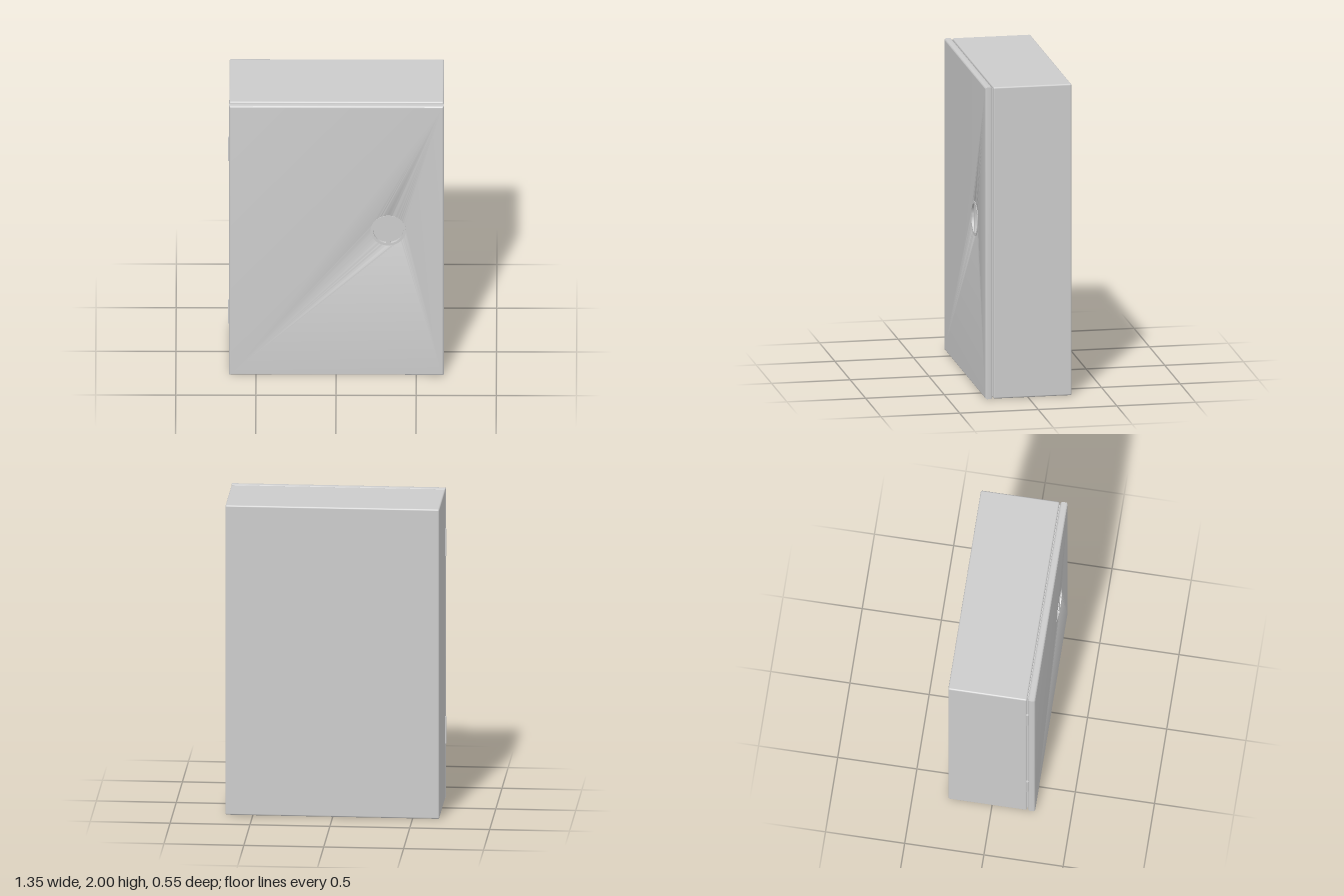
import * as THREE from 'three';
import { RoundedBoxGeometry } from 'three/addons/geometries/RoundedBoxGeometry.js';
import { toCreasedNormals } from 'three/addons/utils/BufferGeometryUtils.js';

const grey = new THREE.MeshStandardMaterial({ color: 0xcccccc });
const W = 1.339, H = 2, CX = 0.0025;   // cabinet face size and centre
const LX = 0.325, LY = 1.08, LR = 0.11; // lock centre and radius

export function createModel() {
  const root = new THREE.Group();
  const add = (name, geometry, x, y, z) => {
    const mesh = new THREE.Mesh(geometry, grey);
    mesh.name = name;
    mesh.position.set(x, y, z);
    root.add(mesh);
    return mesh;
  };

  // Cabinet body, and the seal in the gap behind the door
  add('cabinetBody', new RoundedBoxGeometry(W, H, 0.497, 3, 0.01), CX, H / 2, -0.0285);
  add('doorSeal', new THREE.BoxGeometry(W - 0.03, H - 0.03, 0.02), CX, H / 2, 0.223);

  // Door with rounded edges and an opening for the lock
  const b = 0.012, hw = W / 2 - b, hh = H / 2 - b;
  const panel = new THREE.Shape([[-hw, -hh], [hw, -hh], [hw, hh], [-hw, hh]]
    .map(([x, y]) => new THREE.Vector2(x, y)));
  const opening = new THREE.Path();
  opening.absarc(LX - CX, LY - H / 2, LR - 0.001, 0, Math.PI * 2, true);
  panel.holes.push(opening);
  const door = new THREE.ExtrudeGeometry(panel, {
    depth: 0.046 - 2 * b, bevelEnabled: true, bevelSize: b, bevelThickness: b,
    bevelSegments: 4, curveSegments: 48,
  });
  add('door', toCreasedNormals(door, 0.6), CX, H / 2, 0.226 + b);

  // Lock plate: a disc with two D-shaped finger recesses either side of a bar
  const plate = new THREE.Shape();
  plate.absarc(0, 0, LR, 0, Math.PI * 2, false);
  const r = 0.094, bar = 0.0125, c = 0.008;
  const edge = Math.acos(bar / r), a = edge - 0.09;
  for (const s of [1, -1]) {
    const recess = new THREE.Path();
    const top = r * Math.sin(edge);
    recess.moveTo(s * bar, -top + c);
    recess.lineTo(s * bar, top - c);
    recess.quadraticCurveTo(s * bar, top, s * r * Math.cos(a), r * Math.sin(a));
    for (let i = 1; i <= 28; i++) {
      const t = a - (2 * a * i) / 28;
      recess.lineTo(s * r * Math.cos(t), r * Math.sin(t));
    }
    recess.quadraticCurveTo(s * bar, -top, s * bar, -top + c);
    plate.holes.push(recess);
  }
  const plateGeo = new THREE.ExtrudeGeometry(plate, { depth: 0.02, bevelEnabled: false, curveSegments: 48 });
  add('lockPlate', toCreasedNormals(plateGeo, 0.6), LX, LY, 0.255);
  add('lockRecessFloor', new THREE.CircleGeometry(LR, 48), LX, LY, 0.258);

  // Hinge barrels on the right-hand edge
  for (const y of [0.445, 1.655]) {
    add('hinge', new THREE.CylinderGeometry(0.007, 0.007, 0.175, 16), -0.668, y, 0.223);
  }
  return root;
}
